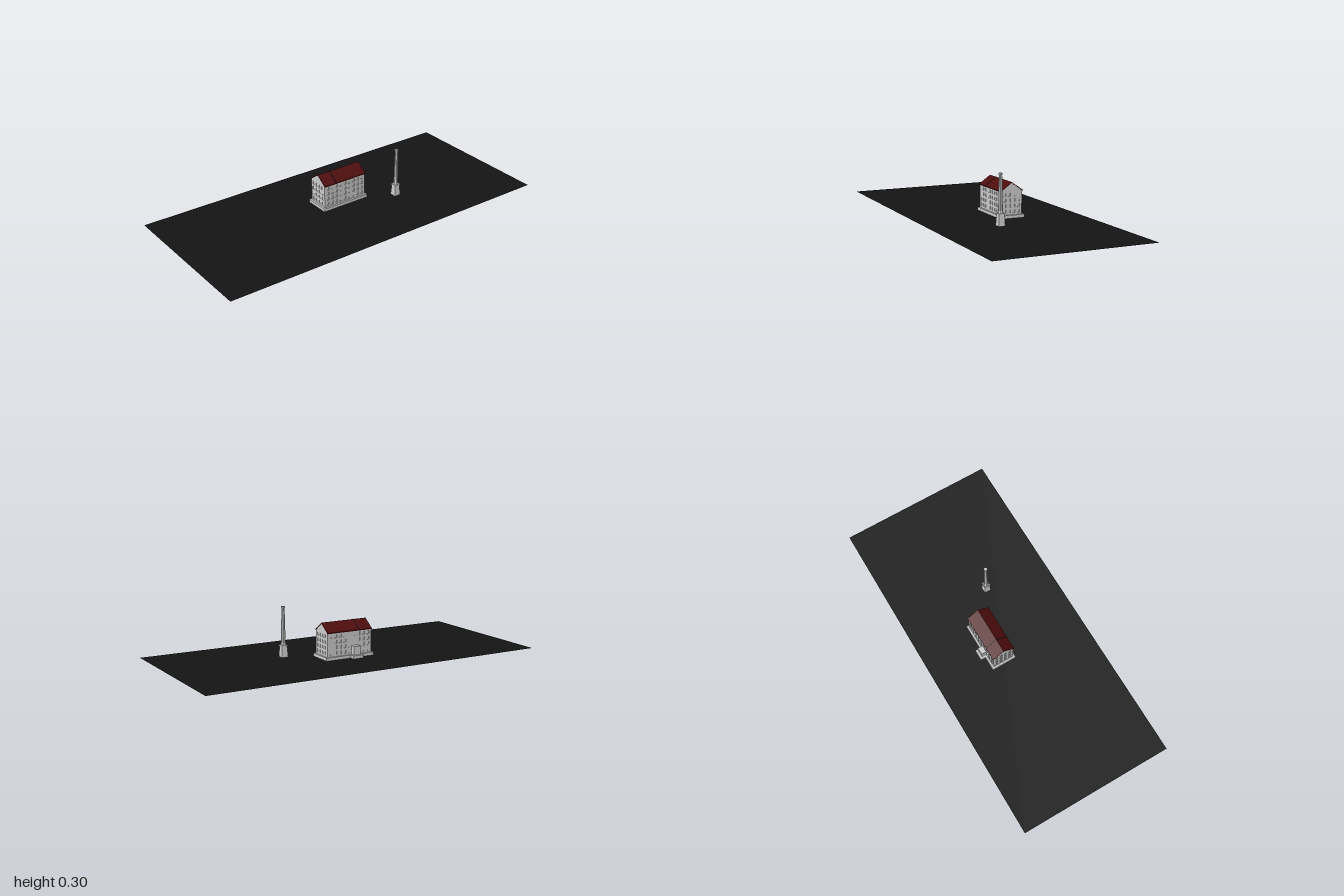
import * as THREE from 'three';

const grey = new THREE.MeshStandardMaterial({ color: 0xcccccc, flatShading: true });
const red = new THREE.MeshStandardMaterial({ color: 0x4f0d0d, flatShading: true });
const black = new THREE.MeshStandardMaterial({ color: 0x141414, side: THREE.DoubleSide });

// House dimensions
const HOUSE_X = -0.064, HOUSE_Z = -0.015;
const WIDTH = 0.124, LENGTH = 0.276, BASE = 0.033, EAVES = 0.165, RIDGE = 0.21;
const RECESS = 0.003;

function add(parent, name, geometry, material, x = 0, y = 0, z = 0) {
  const mesh = new THREE.Mesh(geometry, material);
  mesh.name = name;
  mesh.position.set(x, y, z);
  parent.add(mesh);
  return mesh;
}

// Box given by its extents
function block(parent, name, x0, x1, y0, y1, z0, z1, material = grey) {
  return add(parent, name, new THREE.BoxGeometry(x1 - x0, y1 - y0, z1 - z0), material,
    (x0 + x1) / 2, (y0 + y1) / 2, (z0 + z1) / 2);
}

function polygon(points) {
  return new THREE.Shape(points.map(([x, y]) => new THREE.Vector2(x, y)));
}

function extrude(shape, depth) {
  return new THREE.ExtrudeGeometry(shape, { depth, bevelEnabled: false });
}

function gableOutline(width) {
  const w = width / 2;
  return polygon([[-w, BASE], [w, BASE], [w, EAVES], [0, RIDGE], [-w, EAVES]]);
}

// Thin wall skin pierced by a grid of windows
function windowWall(shape, width, columns, rows) {
  const pitch = (width - 0.014) / columns;
  const rise = (EAVES - BASE - 0.008) / rows;
  for (let c = 0; c < columns; c++) {
    for (let r = 0; r < rows; r++) {
      const x = (c - (columns - 1) / 2) * pitch;
      const y = BASE + 0.004 + (r + 0.5) * rise;
      const w = pitch * 0.25, h = rise * 0.29;
      shape.holes.push(new THREE.Path([
        new THREE.Vector2(x - w, y - h), new THREE.Vector2(x - w, y + h),
        new THREE.Vector2(x + w, y + h), new THREE.Vector2(x + w, y - h),
      ]));
    }
  }
  return extrude(shape, RECESS);
}

function buildHouse() {
  const house = new THREE.Group();
  house.name = 'house';
  house.position.set(HOUSE_X, 0, HOUSE_Z);

  // Plinth and solid core behind the window recesses
  block(house, 'plinth', -0.073, 0.073, 0, BASE, -0.149, 0.149);
  const coreLength = LENGTH - 2 * RECESS;
  add(house, 'core', extrude(gableOutline(WIDTH - 2 * RECESS), coreLength), grey, 0, 0, -coreLength / 2);

  // Gable walls and long walls
  for (const side of [1, -1]) {
    const gable = add(house, side > 0 ? 'frontGable' : 'backGable',
      windowWall(gableOutline(WIDTH), WIDTH, 4, 4), grey, 0, 0, side * (LENGTH / 2 - RECESS));
    gable.rotation.y = side > 0 ? 0 : Math.PI;

    const l = LENGTH / 2;
    const outline = polygon([[-l, BASE], [l, BASE], [l, EAVES], [-l, EAVES]]);
    const wall = add(house, side > 0 ? 'leftWall' : 'rightWall',
      windowWall(outline, LENGTH, 9, 4), grey, side * (WIDTH / 2 - RECESS), 0, 0);
    wall.rotation.y = side * Math.PI / 2;
  }

  // Pitched roof and the dark joint across it
  const roofShape = (lift) => polygon([
    [-0.067, 0.162], [0, RIDGE], [0.067, 0.162],
    [0.067, 0.167 + lift], [0, 0.214 + lift], [-0.067, 0.167 + lift],
  ]);
  add(house, 'roof', extrude(roofShape(0), 0.28), red, 0, 0, -0.14);
  add(house, 'roofJoint', extrude(roofShape(0.0015), 0.004), black, 0, 0, 0.058);

  // Entrance annex on its own plinth
  block(house, 'annexPlinth', -0.102, -0.073, 0, BASE, 0.002, 0.065);
  block(house, 'annex', -0.089, -0.061, BASE, 0.08, 0.014, 0.053);
  block(house, 'annexRoof', -0.0905, -0.061, 0.078, 0.082, 0.0125, 0.0545);
  return house;
}

function buildChimney() {
  const chimney = new THREE.Group();
  chimney.name = 'chimney';
  chimney.position.set(0.079, 0, -0.313);

  // Tapered prism; bottom and top are widths across the flats
  const prism = (name, sides, bottom, top, y0, y1) => {
    const k = 0.5 / Math.cos(Math.PI / sides);
    const geometry = new THREE.CylinderGeometry(top * k, bottom * k, y1 - y0, sides);
    geometry.rotateY(Math.PI / sides);
    add(chimney, name, geometry, grey, 0, (y0 + y1) / 2, 0);
  };
  prism('pedestal', 4, 0.039, 0.030, 0.016, 0.077);
  prism('collar', 4, 0.036, 0.036, 0.076, 0.083);
  prism('shaftFoot', 8, 0.030, 0.023, 0.083, 0.096);
  prism('shaft', 8, 0.023, 0.016, 0.096, 0.288);
  prism('crown', 8, 0.020, 0.020, 0.287, 0.296);
  return chimney;
}

export function createModel() {
  const model = new THREE.Group();
  model.name = 'factory';

  // Flat site
  const ground = new THREE.PlaneGeometry(0.9, 2);
  ground.rotateX(-Math.PI / 2);
  add(model, 'site', ground, black, 0, 0.016, 0);

  model.add(buildHouse(), buildChimney());
  return model;
}
